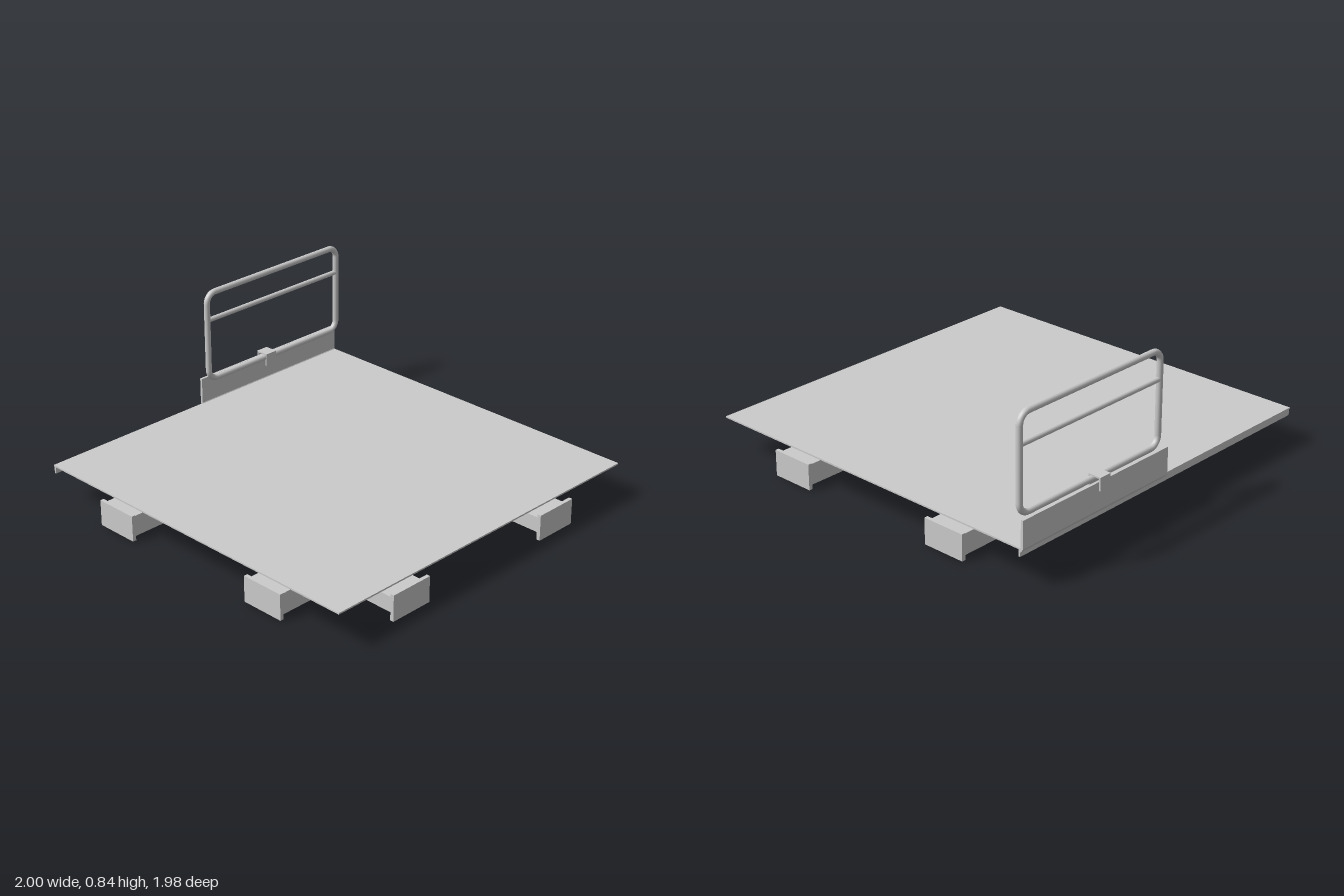
import * as THREE from 'three';

const material = new THREE.MeshStandardMaterial({ color: 0xcccccc });

export function createModel() {
  const model = new THREE.Group();

  const add = (name, geometry) => {
    const mesh = new THREE.Mesh(geometry, material);
    mesh.name = name;
    model.add(mesh);
    return mesh;
  };
  // Box given by its limits on each axis
  const box = (name, x0, x1, y0, y1, z0, z1) =>
    add(name, new THREE.BoxGeometry(x1 - x0, y1 - y0, z1 - z0))
      .position.set((x0 + x1) / 2, (y0 + y1) / 2, (z0 + z1) / 2);
  // Profile in x and y, extruded along z
  const extrude = (name, points, z0, z1) => {
    const shape = new THREE.Shape(points.map(([x, y]) => new THREE.Vector2(x, y)));
    add(name, new THREE.ExtrudeGeometry(shape, { depth: z1 - z0, bevelEnabled: false }))
      .position.z = z0;
  };

  // Deck: thin top sheet over a slightly inset panel, with a drip strip on the railing side
  box('deckSheet', -0.98, 1, 0.192, 0.2, -0.99, 0.99);
  box('deckPanel', -0.965, 0.975, 0.178, 0.192, -0.97, 0.97);
  box('deckEdgeStrip', -0.975, -0.965, 0.157, 0.192, -0.99, 0.99);

  // Main beams along z with end plates, collars and deck brackets
  for (const x of [-0.505, 0.515]) {
    box('mainBeam', x - 0.105, x + 0.105, 0.015, 0.125, -0.97, 0.97);
    for (const z of [-0.98, 0.98])
      box('mainBeamEndPlate', x - 0.118, x + 0.118, 0, 0.137, z - 0.01, z + 0.01);
    for (const z of [-0.37, 0.25])
      box('mainBeamCollar', x - 0.115, x + 0.115, 0.002, 0.133, z - 0.02, z + 0.02);
    for (const z of [-0.68, -0.06, 0.635])
      for (const side of [-1, 1]) {
        const bx = x + side * 0.112;
        box('deckBracket', bx - 0.006, bx + 0.006, 0.002, 0.178, z - 0.008, z + 0.008);
      }
  }

  // Cross beams along x with ribs, and stubs that reach the open side
  for (const z of [-0.51, 0.52]) {
    box('crossBeam', -0.4, 0.41, 0.035, 0.103, z - 0.1, z + 0.1);
    for (const x of [-0.205, 0.005, 0.208])
      box('crossBeamRib', x - 0.01, x + 0.01, 0.029, 0.11, z - 0.108, z + 0.108);
    box('stubBeam', 0.62, 0.98, 0.03, 0.11, z - 0.105, z + 0.105);
    box('stubCollar', 0.62, 0.66, 0.02, 0.12, z - 0.11, z + 0.11);
    box('stubEndPlate', 0.98, 1, 0, 0.137, z - 0.12, z + 0.12);
  }

  // Toe board with its foot bent in under the deck edge
  extrude('toeBoard', [
    [-0.992, 0.34], [-0.992, 0.2], [-0.978, 0.18], [-0.966, 0.18],
    [-0.966, 0.188], [-0.978, 0.204], [-0.978, 0.34],
  ], -0.99, 0);

  // Railing: rounded tube frame and middle rail
  const railX = -0.946, r = 0.016, c = 0.055;
  const z0 = -0.965, z1 = -0.022, y0 = 0.341, y1 = 0.824;
  const p = (y, z) => new THREE.Vector3(railX, y, z);
  const corners = [[y0, z0], [y0, z1], [y1, z1], [y1, z0]].map(([y, z]) => p(y, z));
  const frame = new THREE.CurvePath();
  corners.forEach((corner, i) => {
    const next = corners[(i + 1) % 4], after = corners[(i + 2) % 4];
    const dir = next.clone().sub(corner).normalize();
    const turn = after.clone().sub(next).normalize();
    const bendStart = next.clone().addScaledVector(dir, -c);
    const bendEnd = next.clone().addScaledVector(turn, c);
    frame.add(new THREE.LineCurve3(corner.clone().addScaledVector(dir, c), bendStart));
    // Control points for a quarter circle
    frame.add(new THREE.CubicBezierCurve3(bendStart,
      bendStart.clone().addScaledVector(dir, c * 0.5523),
      bendEnd.clone().addScaledVector(turn, -c * 0.5523), bendEnd));
  });
  add('railingFrame', new THREE.TubeGeometry(frame, 240, r, 16, true));
  const midRail = add('railingMiddleRail', new THREE.CylinderGeometry(0.013, 0.013, z1 - z0, 16));
  midRail.rotation.x = Math.PI / 2;
  midRail.position.set(railX, 0.677, (z0 + z1) / 2);

  // Clamp hooking the railing onto the toe board
  extrude('railingClamp', [
    [-1, 0.295], [-0.992, 0.295], [-0.992, 0.355], [-0.936, 0.355],
    [-0.936, 0.295], [-0.928, 0.295], [-0.928, 0.363], [-1, 0.363],
  ], -0.49, -0.42);

  return model;
}
